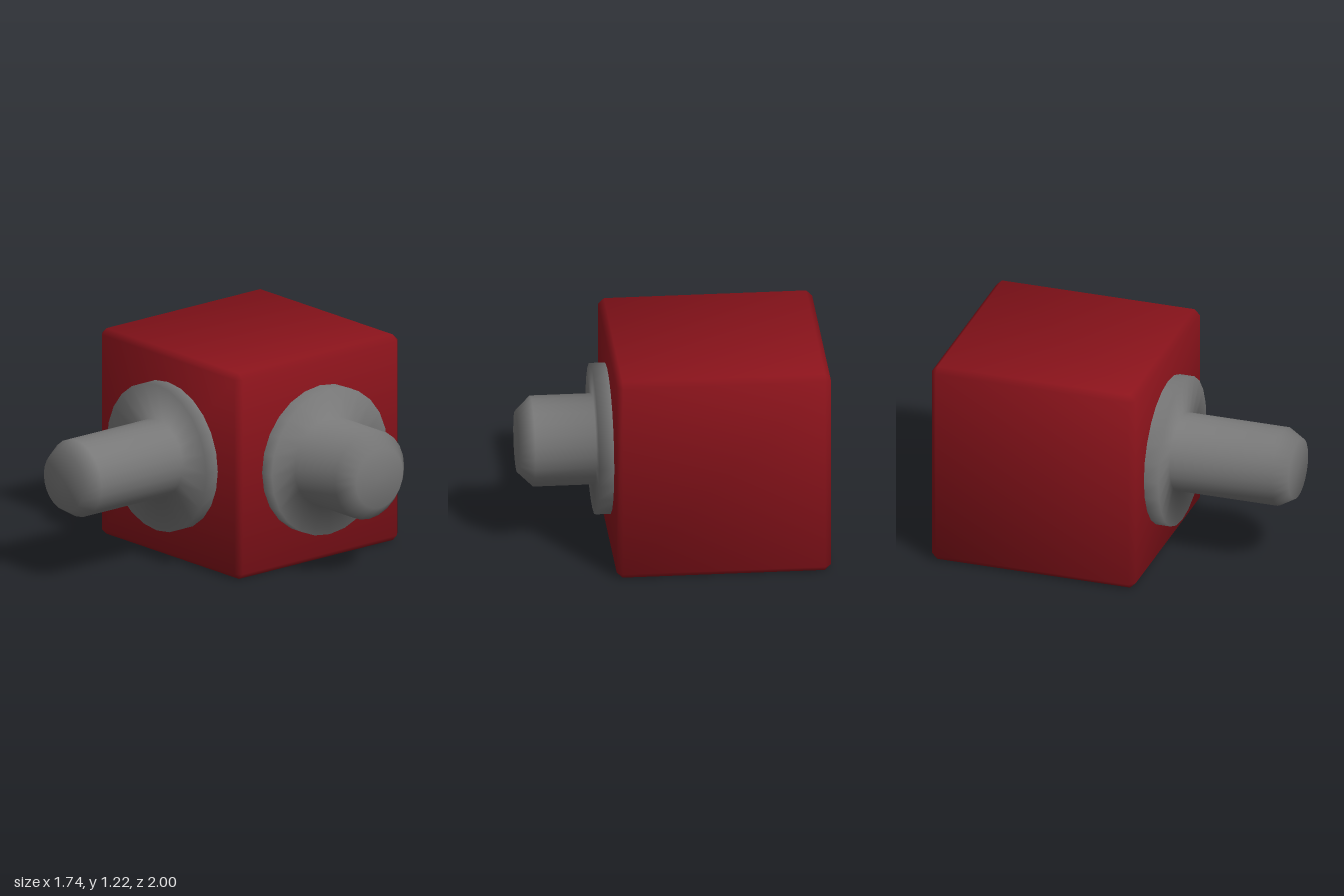
import * as THREE from 'three';
import { ConvexGeometry } from 'three/addons/geometries/ConvexGeometry.js';

const HALF = 0.61;
const BEVEL = 0.034;
const CENTER = new THREE.Vector3(-0.26, 0.61, -0.39);

// Cube with chamfered edges and corners; normals lean outward at the face
// corners so the shading flows softly from face to face
function bevelledCube(half, bevel) {
  const points = [];
  const inner = half - bevel;
  for (const x of [-1, 1]) for (const y of [-1, 1]) for (const z of [-1, 1]) {
    points.push(
      new THREE.Vector3(x * half, y * inner, z * inner),
      new THREE.Vector3(x * inner, y * half, z * inner),
      new THREE.Vector3(x * inner, y * inner, z * half),
    );
  }
  const geometry = new ConvexGeometry(points);
  const { position, normal } = geometry.attributes;
  const lean = (c) => Math.sign(c) * (Math.abs(c) > half - bevel / 2 ? 1 : 0.39);
  for (let i = 0; i < position.count; i++) {
    const n = new THREE.Vector3().fromBufferAttribute(position, i);
    n.set(lean(n.x), lean(n.y), lean(n.z)).normalize();
    normal.setXYZ(i, n.x, n.y, n.z);
  }
  return geometry;
}

// Round collar flowing into a pin with a tapered tip, turned along +y;
// heights start at the cube face
function connector(name, radius, length, material) {
  const profile = [
    [0.432, -0.02], [0.432, 0.086], [radius, 0.086],
    [radius, length - 0.088], [0.175, length], [0, length],
  ].map(([r, h]) => new THREE.Vector2(r, h));
  const mesh = new THREE.Mesh(new THREE.LatheGeometry(profile, 24), material);
  mesh.name = name;
  return mesh;
}

export function createModel() {
  const model = new THREE.Group();
  const red = new THREE.MeshStandardMaterial({ color: 0x8a131b });
  const grey = new THREE.MeshStandardMaterial({ color: 0x787878 });

  // Main block
  const block = new THREE.Mesh(bevelledCube(HALF, BEVEL), red);
  block.name = 'block';
  block.position.copy(CENTER);
  model.add(block);

  // Long slim connector on the front face
  const front = connector('frontConnector', 0.226, 0.78, grey);
  front.rotation.x = Math.PI / 2;
  front.position.copy(CENTER).add(new THREE.Vector3(0, 0, HALF));
  model.add(front);

  // Short thick connector on the +x face
  const side = connector('sideConnector', 0.26, 0.52, grey);
  side.rotation.z = -Math.PI / 2;
  side.position.copy(CENTER).add(new THREE.Vector3(HALF, 0, 0));
  model.add(side);

  return model;
}
